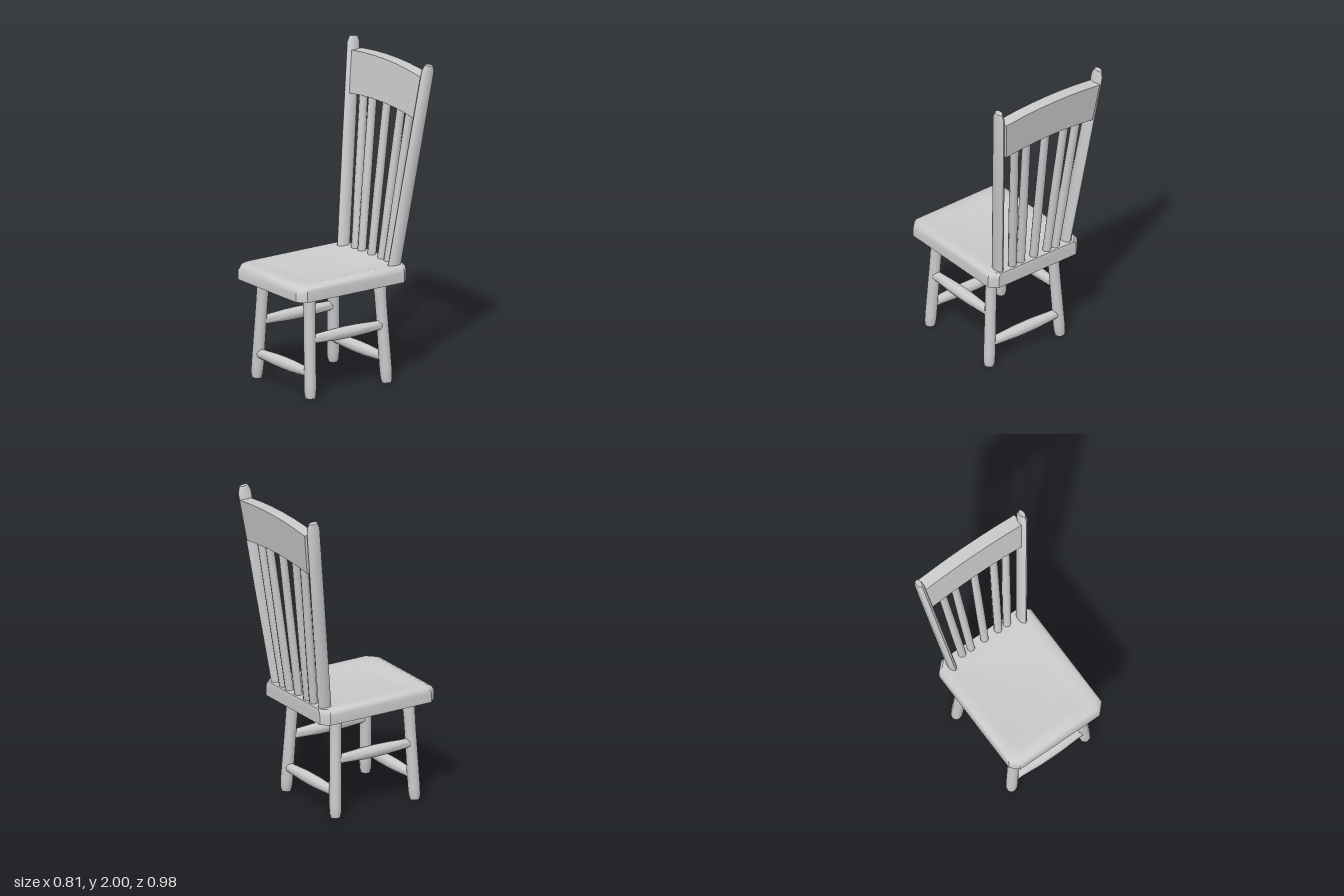
import * as THREE from 'three';
import { toCreasedNormals } from 'three/addons/utils/BufferGeometryUtils.js';

const material = new THREE.MeshStandardMaterial({ color: 0xcccccc });
const UP = new THREE.Vector3(0, 1, 0);

function addMesh(parent, name, geometry, crease = 0.9) {
  const mesh = new THREE.Mesh(toCreasedNormals(geometry, crease), material);
  mesh.name = name;
  parent.add(mesh);
  return mesh;
}

// Turned rod between two points; profile is a list of [radius, fraction of length]
function addRod(parent, name, from, to, profile, sides = 10, depthRatio = 1) {
  const a = new THREE.Vector3(...from);
  const dir = new THREE.Vector3(...to).sub(a);
  const length = dir.length();
  const points = [[0, 0], ...profile, [0, 1]].map(([r, t]) => new THREE.Vector2(r, t * length));
  const geometry = new THREE.LatheGeometry(points, sides);
  geometry.scale(1, 1, depthRatio);
  const mesh = addMesh(parent, name, geometry);
  mesh.position.copy(a);
  mesh.quaternion.setFromUnitVectors(UP, dir.normalize());
  return mesh;
}

// Rectangle with cut corners, counter-clockwise seen from above
function seatRing(y, halfX, front, back, cut) {
  return [
    [halfX, y, front - cut], [halfX, y, back + cut],
    [halfX - cut, y, back], [-halfX + cut, y, back],
    [-halfX, y, back + cut], [-halfX, y, front - cut],
    [-halfX + cut, y, front], [halfX - cut, y, front],
  ];
}

// Seat slab: stacked rings with a rounded front edge and a shallow dish on top
function seatGeometry() {
  const rings = [
    seatRing(0.636, 0.347, 0.49, -0.335, 0.048),
    seatRing(0.695, 0.347, 0.49, -0.335, 0.048),
    seatRing(0.718, 0.342, 0.478, -0.335, 0.048),
    seatRing(0.732, 0.322, 0.445, -0.333, 0.045),
    seatRing(0.73, 0.27, 0.40, -0.26, 0.05),
    seatRing(0.717, 0.2, 0.33, -0.21, 0.06),
  ];
  const n = 8;
  const index = [];
  for (let r = 0; r < rings.length - 1; r++) {
    for (let i = 0; i < n; i++) {
      const j = (i + 1) % n;
      const a = r * n + i, b = r * n + j;
      index.push(a, b, b + n, a, b + n, a + n);
    }
  }
  const top = (rings.length - 1) * n;
  for (let i = 1; i < n - 1; i++) {
    index.push(0, i + 1, i);
    index.push(top, top + i, top + i + 1);
  }
  const geometry = new THREE.BufferGeometry();
  geometry.setAttribute('position', new THREE.Float32BufferAttribute(rings.flat(2), 3));
  geometry.setIndex(index);
  return geometry;
}

// Arched top rail, leaning back with the posts
function railGeometry() {
  const shape = new THREE.Shape();
  shape.moveTo(-0.335, 1.655);
  shape.quadraticCurveTo(0, 1.705, 0.335, 1.655);
  shape.lineTo(0.362, 1.915);
  shape.quadraticCurveTo(0, 1.965, -0.362, 1.915);
  shape.closePath();
  const geometry = new THREE.ExtrudeGeometry(shape, { depth: 0.08, bevelEnabled: false, curveSegments: 6 });
  const p = geometry.attributes.position;
  for (let i = 0; i < p.count; i++) {
    p.setZ(i, p.getZ(i) - 0.45 - 0.14 * (p.getY(i) - 1.655));
  }
  return geometry;
}

export function createModel() {
  const chair = new THREE.Group();
  chair.name = 'chair';

  addMesh(chair, 'seat', seatGeometry(), 0.75);
  addMesh(chair, 'topRail', railGeometry(), 0.5);

  const legProfile = [[0.03, 0], [0.036, 0.04], [0.038, 0.12], [0.036, 0.7], [0.037, 0.85], [0.041, 0.96], [0.041, 1]];
  const postProfile = [[0.026, 0], [0.027, 0.5], [0.026, 0.97], [0.017, 1]];
  const stretcherProfile = [[0.029, 0], [0.031, 0.12], [0.038, 0.35], [0.039, 0.5], [0.038, 0.65], [0.031, 0.88], [0.029, 1]];

  for (const s of [-1, 1]) {
    const side = s > 0 ? 'left' : 'right';
    // Splayed legs
    addRod(chair, side + 'FrontLeg', [s * 0.275, 0.002, 0.367], [s * 0.235, 0.65, 0.345], legProfile);
    addRod(chair, side + 'BackLeg', [s * 0.275, 0.002, -0.207], [s * 0.235, 0.65, -0.18], legProfile);
    // Side stretcher
    addRod(chair, side + 'Stretcher', [s * 0.253, 0.365, -0.19], [s * 0.253, 0.365, 0.353], stretcherProfile);
    // Oval back post
    addRod(chair, side + 'BackPost', [s * 0.259, 0.7, -0.271], [s * 0.386, 1.996, -0.442], postProfile, 10, 1.75);
  }

  // Low stretchers between the front legs and between the back legs
  for (const [name, z] of [['frontStretcher', 0.362], ['backStretcher', -0.2]]) {
    addRod(chair, name, [-0.262, 0.157, z], [0.262, 0.157, z], stretcherProfile);
  }

  // Spindles fanning out from the seat to the rail: [seat x, rail x]
  for (const [low, high] of [[-0.165, -0.24], [-0.1, -0.147], [0, 0], [0.1, 0.147], [0.165, 0.24]]) {
    addRod(chair, 'spindle', [low, 0.7, -0.292], [high, 1.69, -0.412], [[0.026, 0], [0.028, 0.4], [0.026, 1]], 8);
  }

  return chair;
}
